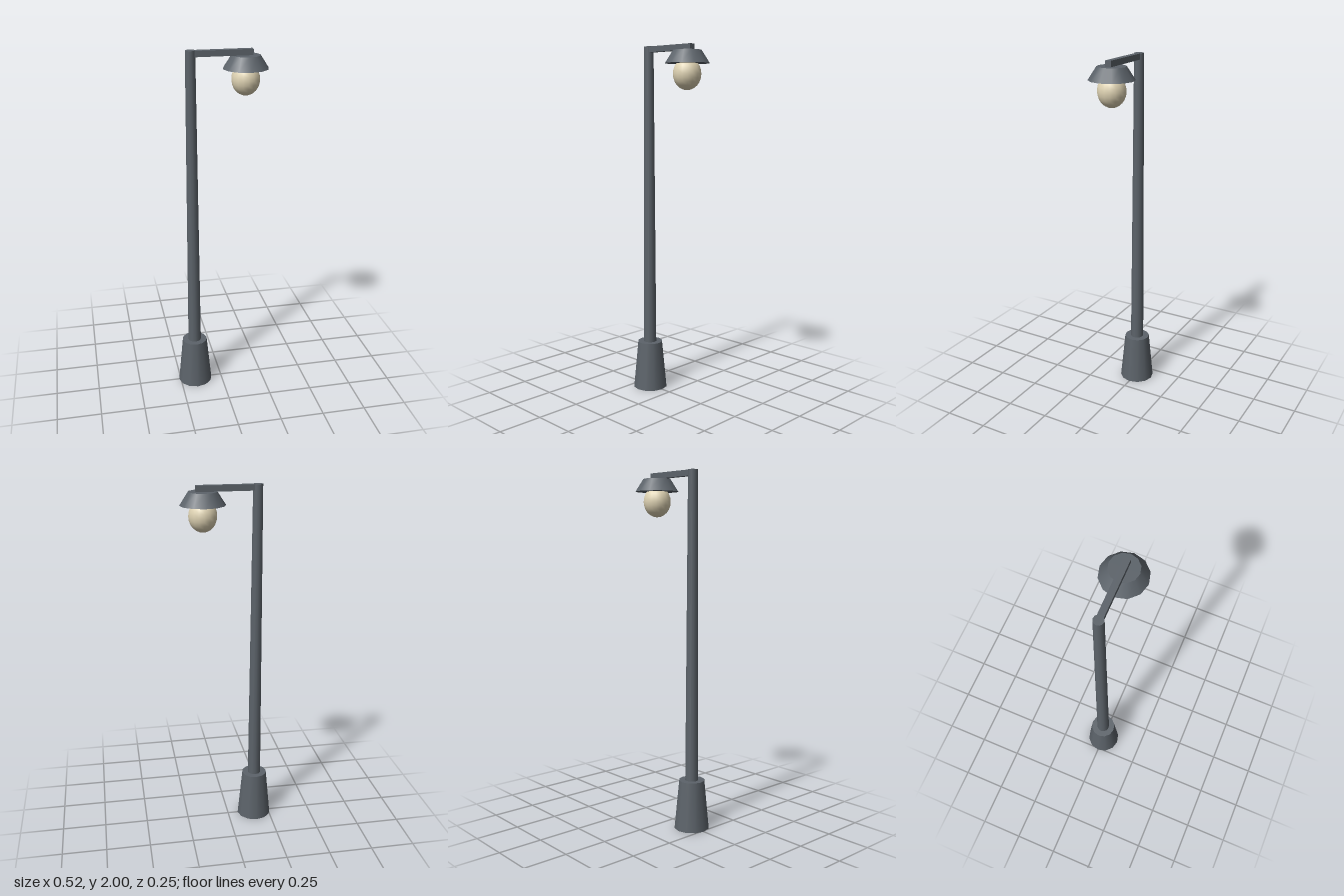
import * as THREE from 'three';

export function createModel() {
  const group = new THREE.Group();
  const metal = new THREE.MeshStandardMaterial({ color: 0x5c636a });
  metal.name = 'dark grey metal';
  const glass = new THREE.MeshStandardMaterial({ color: 0xe0d4b4 });
  glass.name = 'warm cream glass';

  const poleX = -0.16, lampX = 0.135;

  function add(name, geometry, material, x, y) {
    const mesh = new THREE.Mesh(geometry, material);
    mesh.name = name;
    mesh.position.set(x, y, 0);
    group.add(mesh);
    return mesh;
  }

  // Tapered round part standing between two heights
  function taper(name, x, bottom, top, bottomRadius, topRadius) {
    const geometry = new THREE.CylinderGeometry(topRadius, bottomRadius, top - bottom, 12);
    return add(name, geometry, metal, x, (bottom + top) / 2);
  }

  // Post: heavy foot and slim pole
  taper('base', poleX, 0, 0.28, 0.1, 0.073);
  taper('pole', poleX, 0.27, 2, 0.038, 0.027);

  // Arm reaching from the pole over the lamp
  const armStart = poleX, armEnd = 0.172;
  add('arm', new THREE.BoxGeometry(armEnd - armStart, 0.032, 0.034), metal,
    (armStart + armEnd) / 2, 1.983);

  // Lamp: flared shade with a slightly tall bulb beneath it
  taper('shade', lampX, 1.897, 1.967, 0.1235, 0.078);
  const bulb = add('bulb', new THREE.SphereGeometry(0.077, 16, 12), glass, lampX, 1.841);
  bulb.scale.y = 1.13;

  return group;
}
